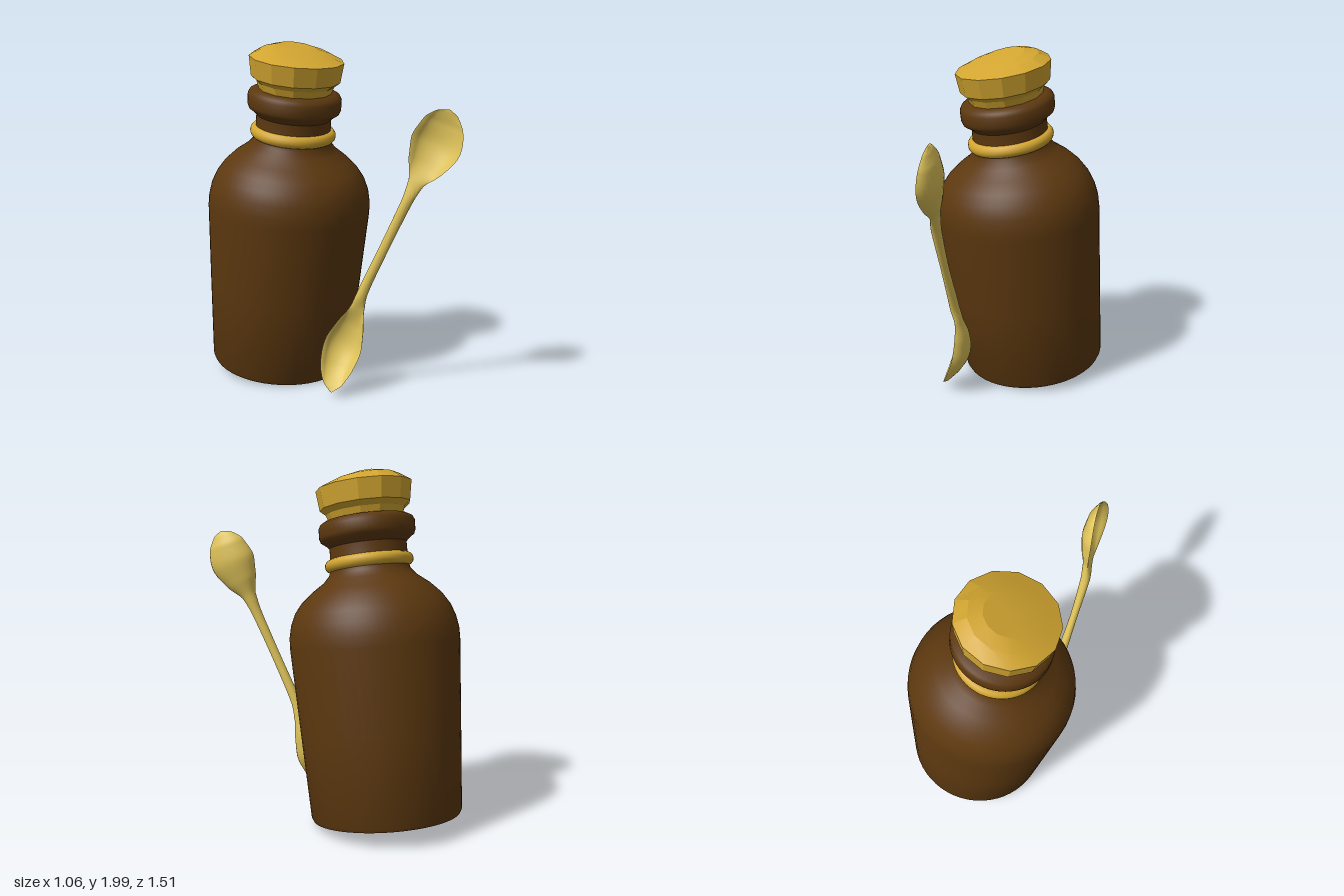
import * as THREE from 'three';
import { toCreasedNormals } from 'three/addons/utils/BufferGeometryUtils.js';

const brownGlass = new THREE.MeshStandardMaterial({ color: 0x5c380f });
const corkGold = new THREE.MeshStandardMaterial({ color: 0xd2a530 });
const paleWood = new THREE.MeshStandardMaterial({ color: 0xe0c45a });

const V = (x, y, z) => new THREE.Vector3(x, y, z);

// Turned part whose upper rings lean further forward than the body
function turned(name, profile, segments, material, crease) {
  const geo = new THREE.LatheGeometry(profile.map(([r, y]) => new THREE.Vector2(r, y)), segments);
  const p = geo.attributes.position;
  for (let i = 0; i < p.count; i++) {
    const y = p.getY(i);
    const lean = 0.065 * THREE.MathUtils.smoothstep(y, 1.15, 1.4)
      + 0.13 * THREE.MathUtils.smoothstep(y, 1.865, 1.915);
    p.setY(i, y - lean * p.getZ(i));
  }
  const mesh = new THREE.Mesh(toCreasedNormals(geo, crease), material);
  mesh.name = name;
  return mesh;
}

// Double-ended spoon: one loft whose section changes from crescent to oval
function makeSpoon() {
  // centre x, y, z, half width, depth behind, height in front (negative is hollow)
  const stations = [
    [-0.045, 0.035, 0.32, 0.004, 0.004, 0],
    [-0.03, 0.08, 0.31, 0.055, 0.03, -0.01],
    [0, 0.17, 0.295, 0.095, 0.07, -0.045],
    [0.045, 0.28, 0.285, 0.11, 0.09, -0.06],
    [0.09, 0.4, 0.295, 0.08, 0.07, -0.04],
    [0.12, 0.5, 0.315, 0.043, 0.04, 0],
    [0.14, 0.6, 0.34, 0.03, 0.03, 0.025],
    [0.22, 0.88, 0.44, 0.027, 0.025, 0.02],
    [0.3, 1.14, 0.53, 0.03, 0.03, 0.025],
    [0.335, 1.25, 0.565, 0.045, 0.04, 0.01],
    [0.365, 1.34, 0.6, 0.1, 0.07, -0.03],
    [0.405, 1.46, 0.64, 0.14, 0.09, -0.06],
    [0.44, 1.57, 0.655, 0.11, 0.065, -0.04],
    [0.463, 1.625, 0.66, 0.055, 0.025, -0.01],
    [0.472, 1.643, 0.66, 0.004, 0.004, 0],
  ];
  const path = new THREE.CatmullRomCurve3(stations.map((s) => V(s[0], s[1], s[2])));
  const size = new THREE.CatmullRomCurve3(stations.map((s) => V(s[3], s[4], s[5])));
  const lowFacing = V(-0.6, 0.18, 0.78), highFacing = V(-0.75, 0.04, 0.66);
  const rows = 84, sides = 28, pos = [], idx = [];
  for (let i = 0; i <= rows; i++) {
    const t = i / rows, c = path.getPoint(t), s = size.getPoint(t);
    const along = path.getTangent(t);
    const n = lowFacing.clone().lerp(highFacing, t);
    n.addScaledVector(along, -n.dot(along)).normalize();
    const w = n.clone().cross(along);
    const rim = 1 - 0.14 * THREE.MathUtils.clamp(-s.z / 0.03, 0, 1);
    for (let j = 0; j < sides; j++) {
      const a = (j / sides) * Math.PI * 2, inner = Math.sin(a) > 1e-6;
      const q = c.clone()
        .addScaledVector(w, s.x * Math.cos(a) * (inner ? rim : 1))
        .addScaledVector(n, Math.sin(a) * (inner ? s.z : s.y));
      pos.push(q.x, q.y, q.z);
      if (i < rows) {
        const k = (j + 1) % sides, b = i * sides, d = b + sides;
        idx.push(b + j, b + k, d + j, b + k, d + k, d + j);
      }
    }
  }
  const geo = new THREE.BufferGeometry();
  geo.setAttribute('position', new THREE.Float32BufferAttribute(pos, 3));
  geo.setIndex(idx);
  const mesh = new THREE.Mesh(toCreasedNormals(geo, 0.8), paleWood);
  mesh.name = 'spoon';
  return mesh;
}

export function createModel() {
  const model = new THREE.Group();
  model.name = 'bottleWithSpoon';

  // Leaning bottle
  const bottle = new THREE.Group();
  bottle.name = 'bottle';
  bottle.position.set(-0.055, 0.055, -0.345);
  bottle.rotation.x = 0.13;

  // Body, shoulder, neck and lip
  bottle.add(turned('bottleBody', [
    [0, 0], [0.418, 0], [0.428, 0.02], [0.455, 0.5], [0.481, 0.98], [0.479, 1.04],
    [0.465, 1.11], [0.438, 1.175], [0.395, 1.235], [0.335, 1.29], [0.265, 1.34],
    [0.23, 1.38], [0.22, 1.42], [0.218, 1.53], [0.235, 1.548], [0.265, 1.57],
    [0.272, 1.59], [0.272, 1.645], [0.262, 1.665], [0.235, 1.68], [0, 1.68],
  ], 56, brownGlass, 0.7));

  // Cord around the neck
  const cord = [];
  for (let i = 0; i <= 14; i++) {
    const a = (i / 14) * Math.PI * 2;
    cord.push([0.217 + 0.034 * Math.cos(a), 1.432 + 0.036 * Math.sin(a)]);
  }
  bottle.add(turned('neckRing', cord, 48, corkGold, 1));

  // Roughly cut stopper
  bottle.add(turned('stopper', [
    [0, 1.66], [0.205, 1.66], [0.225, 1.72], [0.258, 1.748], [0.274, 1.86],
    [0.205, 1.893], [0.13, 1.913], [0, 1.913],
  ], 13, corkGold, 0.3));

  model.add(bottle, makeSpoon());
  return model;
}
